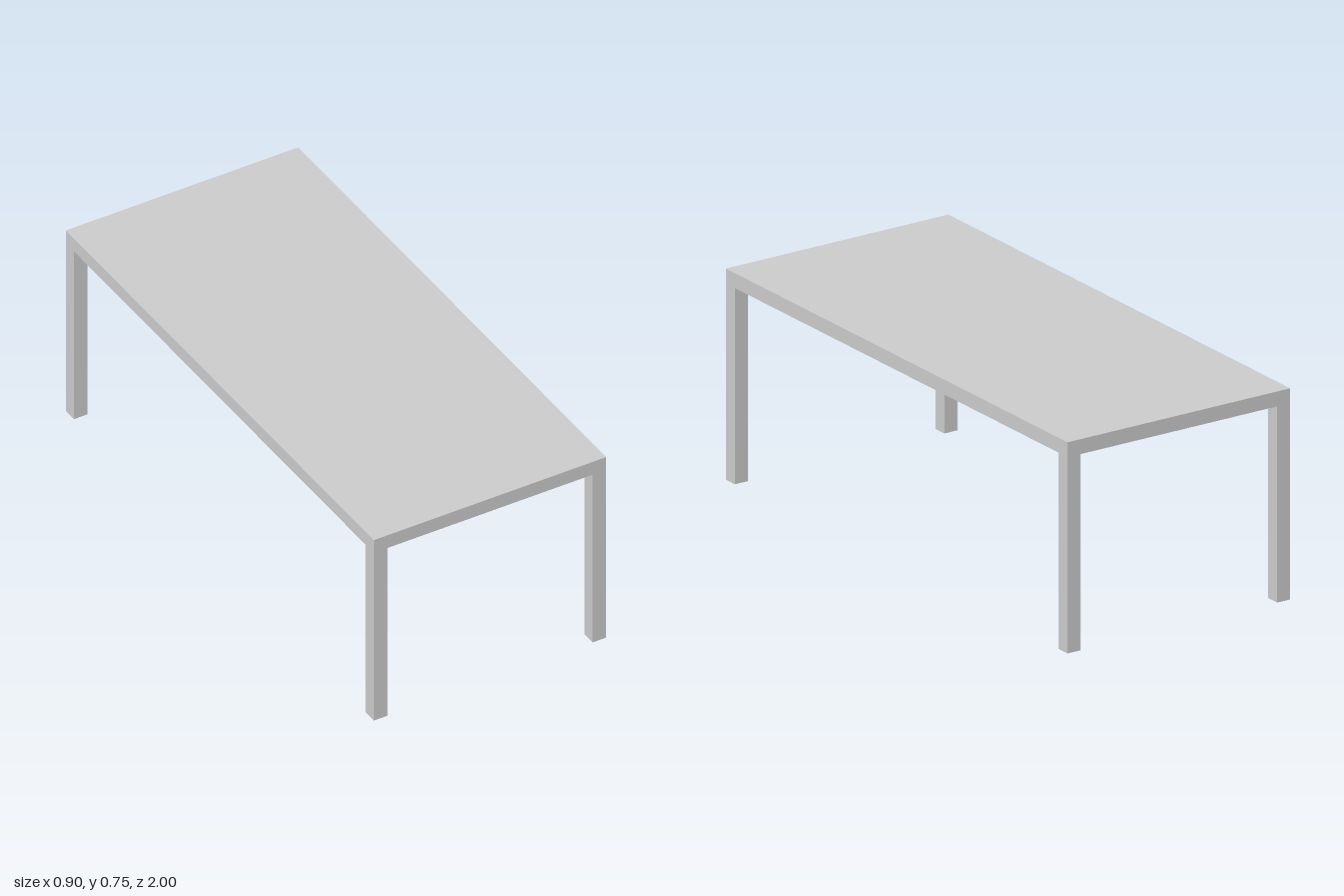
import * as THREE from 'three';

const W = 0.9, H = 0.75, L = 2;      // overall size
const S = 0.053;                     // leg and rail section
const T = 0.02;                      // top panel thickness
const material = new THREE.MeshStandardMaterial({ color: 0xcccccc });

function box(name, w, h, d, x, y, z) {
  const mesh = new THREE.Mesh(new THREE.BoxGeometry(w, h, d), material);
  mesh.name = name;
  mesh.position.set(x, y, z);
  return mesh;
}

export function createModel() {
  const table = new THREE.Group();
  table.name = 'table';

  // Thin top, flush with the frame outside
  table.add(box('tableTop', W, T, L, 0, H - T / 2, 0));

  const under = H - T;               // underside of the panel
  const railH = S - T;
  const railY = under - railH / 2;
  const lx = W / 2 - S / 2, lz = L / 2 - S / 2;

  // Long and short rails between the legs
  for (const s of [-1, 1]) {
    table.add(box('longRail', S, railH, L - 2 * S, s * lx, railY, 0));
    table.add(box('shortRail', W - 2 * S, railH, S, 0, railY, s * lz));
  }

  // Lengthwise beam under the middle
  const beamH = railH - 0.003;
  table.add(box('centreBeam', 0.05, beamH, L - 2 * S, 0, under - beamH / 2, 0));

  // Square legs and triangular corner braces
  const g = 0.11, braceH = railH - 0.006;
  for (const sx of [-1, 1]) for (const sz of [-1, 1]) {
    table.add(box('leg', S, under, S, sx * lx, under / 2, sz * lz));

    const x = sx * (W / 2 - S), z = sz * (L / 2 - S);
    const shape = new THREE.Shape([
      new THREE.Vector2(x, -z),
      new THREE.Vector2(x - sx * g, -z),
      new THREE.Vector2(x, -z + sz * g),
    ]);
    const geometry = new THREE.ExtrudeGeometry(shape, { depth: braceH, bevelEnabled: false });
    geometry.rotateX(-Math.PI / 2);
    const brace = new THREE.Mesh(geometry, material);
    brace.name = 'cornerBrace';
    brace.position.y = under - braceH;
    table.add(brace);
  }
  return table;
}
